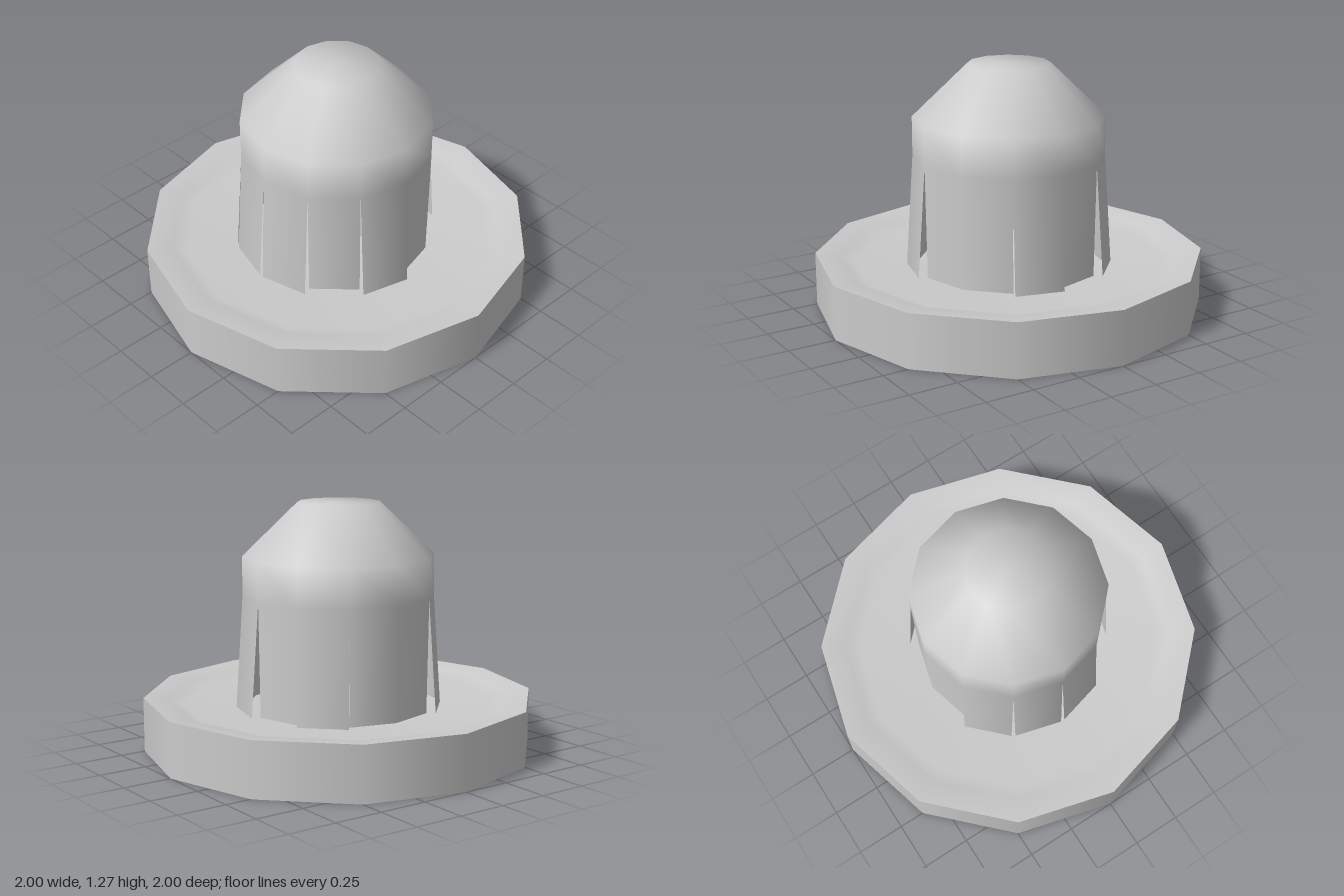
import * as THREE from 'three';

const SIDES = 12;
const material = new THREE.MeshStandardMaterial({ color: 0xcccccc, side: THREE.DoubleSide });

// Twelve-sided turned part from [radius, height] pairs
function turned(name, profile) {
  const points = profile.map(([r, y]) => new THREE.Vector2(r, y));
  const mesh = new THREE.Mesh(new THREE.LatheGeometry(points, SIDES), material);
  mesh.name = name;
  return mesh;
}

// Flat panel hanging from the dome rim, its foot shifted along the panel's normal
function panel(index, shift) {
  const top = 0.8, foot = 0.21, step = (Math.PI * 2) / SIDES;
  const geometry = new THREE.CylinderGeometry(0.49, 0.49, top - foot, 1, 1, true, index * step, step);
  geometry.translate(0, (top + foot) / 2, 0);
  const middle = (index + 0.5) * step;
  const pos = geometry.attributes.position;
  for (let i = 0; i < pos.count; i++) {
    if (pos.getY(i) > 0.5) continue;
    pos.setX(i, pos.getX(i) + Math.sin(middle) * shift);
    pos.setZ(i, pos.getZ(i) + Math.cos(middle) * shift);
  }
  const mesh = new THREE.Mesh(geometry, material);
  mesh.name = `wallPanel${index + 1}`;
  return mesh;
}

export function createModel() {
  const model = new THREE.Group();
  model.name = 'domedTower';

  // Base: underside, outer wall and shallow dished top
  const base = new THREE.Group();
  base.name = 'base';
  base.add(
    turned('baseUnderside', [[0, 0], [1, 0]]),
    turned('baseWall', [[1, 0], [1, 0.28]]),
    turned('baseDish', [[1, 0.28], [0.87, 0.265], [0.8, 0.235], [0, 0.2]]),
  );
  model.add(base);

  // Wall panels: some flare outward, the rest lean slightly inward
  const flared = [0, 2, 5, 7, 10, 11];
  const walls = new THREE.Group();
  walls.name = 'wallPanels';
  for (let i = 0; i < SIDES; i++) walls.add(panel(i, flared.includes(i) ? 0.04 : -0.01));
  model.add(walls);

  // Dome with a flat cap
  model.add(turned('dome', [[0.49, 0.8], [0.49, 1], [0.21, 1.27], [0, 1.27]]));

  return model;
}
